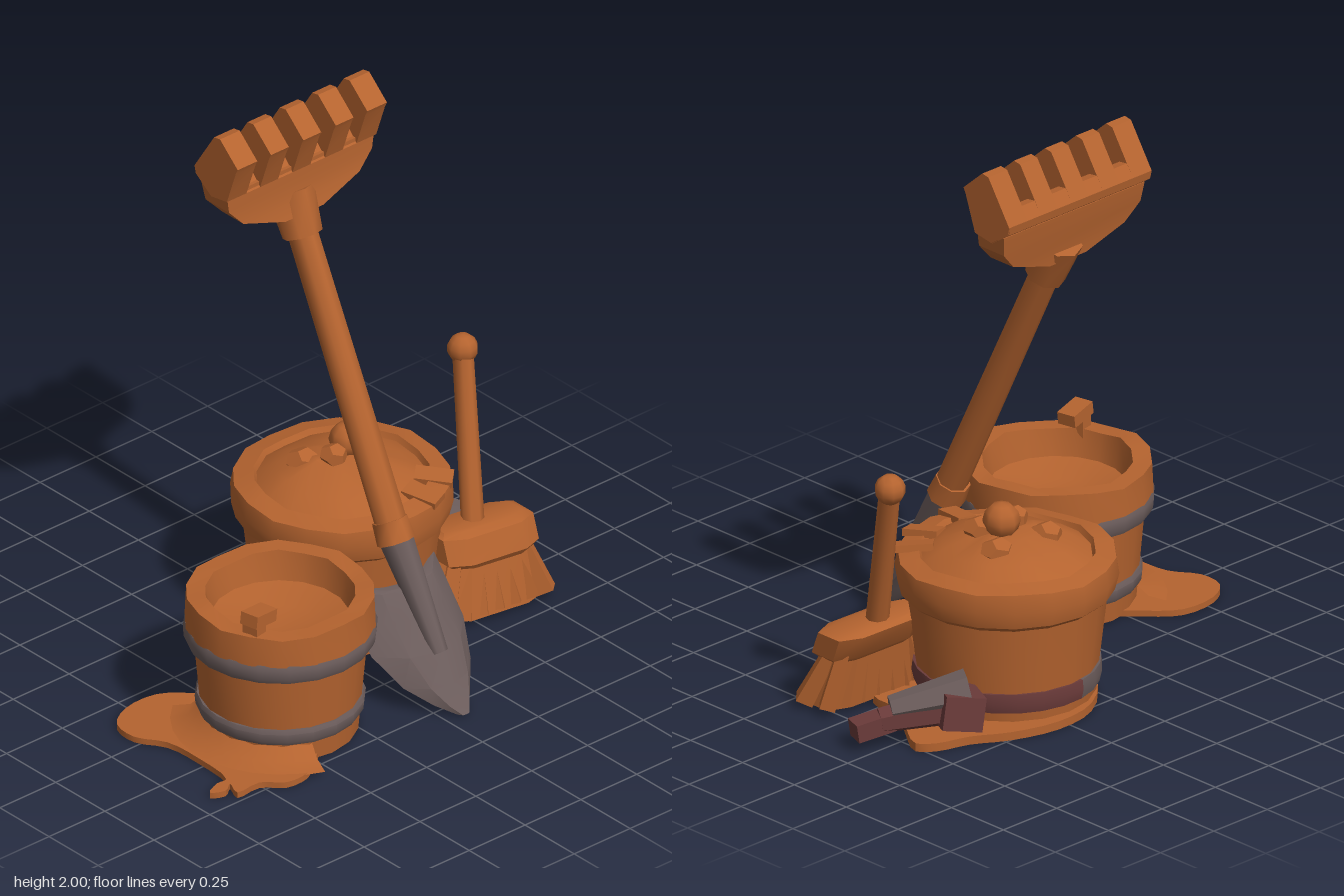
import * as THREE from 'three';
import { toCreasedNormals } from 'three/addons/utils/BufferGeometryUtils.js';

export function createModel() {
  const model = new THREE.Group();
  const mat = (name, color) => {
    const m = new THREE.MeshStandardMaterial({ color });
    m.name = name;
    return m;
  };
  const wood = mat('wood', 0xb4632f);
  const iron = mat('iron', 0x6b5c5b);
  const maroon = mat('maroon', 0x6b3b3a);

  const add = (name, geo, material, crease = 0.6) => {
    const mesh = new THREE.Mesh(toCreasedNormals(geo, crease), material);
    mesh.name = name;
    model.add(mesh);
    return mesh;
  };
  const v2 = (pts) => pts.map((p) => new THREE.Vector2(p[0], p[1]));
  const lathe = (pts, seg = 18, start = 0, len = Math.PI * 2) => new THREE.LatheGeometry(v2(pts), seg, start, len);

  // tapered rod between two points
  const rod = (name, a, b, ra, rb, material, sides = 8) => {
    const p = new THREE.Vector3(...a), q = new THREE.Vector3(...b);
    const geo = new THREE.CylinderGeometry(rb, ra, p.distanceTo(q), sides);
    const mesh = add(name, geo, material, sides < 7 ? 0.3 : 0.9);
    mesh.position.copy(p).lerp(q, 0.5);
    mesh.quaternion.setFromUnitVectors(new THREE.Vector3(0, 1, 0), q.sub(p).normalize());
    return mesh;
  };
  const box = (name, size, pos, rot, material) => {
    const mesh = add(name, new THREE.BoxGeometry(...size), material);
    mesh.position.set(...pos);
    mesh.rotation.set(...rot);
    return mesh;
  };
  // (z, y) profile extruded along x
  const slab = (name, pts, x, width, material) => {
    const geo = new THREE.ExtrudeGeometry(new THREE.Shape(v2(pts)), { depth: width, bevelEnabled: false });
    geo.translate(0, 0, -width / 2).rotateY(-Math.PI / 2);
    add(name, geo, material).position.x = x;
  };
  // closed skin over rings listed from top to bottom, each counter-clockwise from above
  const loft = (rings) => {
    const n = rings[0].length, idx = [];
    for (let i = 0; i < rings.length - 1; i++) for (let j = 0; j < n; j++) {
      const a = i * n + j, b = i * n + (j + 1) % n;
      idx.push(a, a + n, b, b, a + n, b + n);
    }
    const last = (rings.length - 1) * n;
    for (let j = 1; j < n - 1; j++) idx.push(0, j, j + 1, last, last + j + 1, last + j);
    const geo = new THREE.BufferGeometry();
    geo.setAttribute('position', new THREE.Float32BufferAttribute(rings.flat(2), 3));
    geo.setIndex(idx);
    return geo;
  };
  // flat spill lying on the ground, outline in (x, z)
  const spill = (name, pts, height) => {
    const curve = new THREE.CatmullRomCurve3(pts.map((p) => new THREE.Vector3(p[0], -p[1], 0)), true);
    const shape = new THREE.Shape(curve.getPoints(pts.length * 3).map((p) => new THREE.Vector2(p.x, p.y)));
    add(name, new THREE.ExtrudeGeometry(shape, { depth: height, bevelEnabled: false }).rotateX(-Math.PI / 2), wood);
  };
  // uneven plank tops along a rim
  const roughen = (geo, minY, amount) => {
    const p = geo.attributes.position;
    for (let i = 0; i < p.count; i++) {
      if (p.getY(i) < minY) continue;
      const a = Math.atan2(p.getX(i), p.getZ(i));
      p.setY(i, p.getY(i) + amount * Math.sin(a * 7 + 1) * Math.cos(a * 4));
    }
    return geo;
  };

  // open bucket
  const A = [-0.43, 0, 0.21];
  const bucket = lathe([[0, 0.005], [0.265, 0.005], [0.3, 0.4], [0.325, 0.41], [0.32, 0.52],
    [0.255, 0.52], [0.235, 0.42], [0.12, 0.39], [0, 0.38]]);
  add('openBucket', roughen(bucket, 0.5, 0.012), wood).position.set(...A);
  [[0.11, 0.286, 0.06], [0.38, 0.326, 0.07]].forEach(([y, r, h]) => {
    const hoop = lathe([[r - 0.04, -h / 2], [r - 0.008, -h / 2], [r, -h / 4], [r + 0.003, h / 4],
      [r - 0.004, h / 2], [r - 0.04, h / 2]], 20);
    add('bucketHoop', hoop, iron).position.set(A[0], y, A[2]);
  });
  box('rimPeg', [0.11, 0.045, 0.07], [-0.65, 0.572, 0.35], [0, 0.2, -0.15], wood);
  box('rimPegStem', [0.05, 0.09, 0.06], [-0.67, 0.53, 0.35], [0, 0.2, 0], wood);
  spill('bucketSpill', [[-0.78, -0.18], [-0.64, -0.18], [-0.54, -0.1], [-0.42, 0.05], [-0.42, 0.4],
    [-0.54, 0.5], [-0.6, 0.54], [-0.69, 0.54], [-0.76, 0.48], [-0.86, 0.48], [-0.84, 0.42],
    [-0.88, 0.445], [-0.93, 0.42], [-0.87, 0.39], [-0.83, 0.39], [-0.81, 0.22], [-0.82, 0.08], [-0.88, -0.02], [-0.87, -0.12]], 0.022);
  add('spillSlope', lathe([[0.38, 0.02], [0.31, 0.035], [0.26, 0.08]], 10, Math.PI * 1.2, 2.2), wood).position.set(...A);

  // heaped tub
  const B = [0.22, 0, -0.215];
  const tub = lathe([[0, 0.005], [0.3, 0.005], [0.31, 0.12], [0.34, 0.38], [0.365, 0.4], [0.38, 0.46], [0.37, 0.52],
    [0.3, 0.535], [0.29, 0.515], [0.22, 0.56], [0.1, 0.605], [0, 0.615]]);
  add('heapedTub', roughen(tub, 0.51, 0.01), wood).position.set(...B);
  const bandPts = [[0.28, 0.065], [0.314, 0.065], [0.322, 0.1], [0.318, 0.135], [0.28, 0.135]];
  add('tubBandBack', lathe(bandPts, 10, Math.PI * 1.05, Math.PI * 0.8), iron).position.set(...B);
  add('tubBandFront', lathe(bandPts, 14, -Math.PI * 0.15, Math.PI * 1.2), maroon).position.set(...B);
  const knob = add('heapKnob', new THREE.SphereGeometry(0.065, 8, 6), wood, 1);
  knob.position.set(0.25, 0.65, -0.22);
  [[0.17, 0.63, -0.2, 0.05], [0.29, 0.61, -0.15, 0.055], [0.33, 0.58, -0.28, 0.06], [0.12, 0.58, -0.3, 0.06]].forEach(([x, y, z, r]) => {
    const lump = add('heapLump', new THREE.DodecahedronGeometry(r), wood, 0.3);
    lump.position.set(x, y, z);
    lump.scale.y = 0.8;
  });
  [-0.2, 0.35, 0.75].forEach((a) => {
    const s = Math.sin(a), c = Math.cos(a);
    box('rimSplinter', [0.07, 0.025, 0.13], [B[0] + s * 0.31, 0.535, B[2] + c * 0.31], [0.12, a, 0.1], wood);
  });
  spill('tubSpill', [[-0.04, -0.36], [0.12, -0.52], [0.3, -0.55], [0.48, -0.5], [0.6, -0.43], [0.72, -0.39], [0.77, -0.34],
    [0.7, -0.22], [0.62, -0.1], [0.6, 0.04], [0.42, 0.08], [0.2, 0.09], [0, 0.02]], 0.03);

  // long tool: shaft, collars
  rod('shaft', [0.065, 0.54, 0.235], [0.075, 1.56, -0.272], 0.056, 0.052, wood);
  rod('lowerCollar', [0.065, 0.53, 0.238], [0.065, 0.6, 0.203], 0.068, 0.062, wood);
  rod('upperCollar', [0.075, 1.51, -0.25], [0.075, 1.66, -0.315], 0.07, 0.085, wood);

  // rake head with five teeth
  const hx = 0.07;
  const plate = (y, hw, zf, zb) => [[hx - hw, y, zf], [hx + hw, y, zf], [hx + hw, y, zb], [hx - hw, y, zb]];
  add('rakeBody', loft([plate(1.79, 0.33, -0.255, -0.385), plate(1.72, 0.32, -0.255, -0.375),
    plate(1.655, 0.26, -0.25, -0.36), plate(1.6, 0.085, -0.235, -0.355)]), wood);
  slab('rakeBar', [[-0.25, 1.77], [-0.33, 1.755], [-0.41, 1.81], [-0.415, 1.84], [-0.385, 1.885], [-0.35, 1.88]].reverse(), hx, 0.66, wood);
  for (let i = 0; i < 5; i++) {
    slab('rakeTooth', [[-0.195, 1.92], [-0.205, 1.9], [-0.25, 1.77], [-0.33, 1.757], [-0.408, 1.812], [-0.415, 1.84],
      [-0.315, 1.995], [-0.285, 2]], hx + (i - 2) * 0.145, i % 4 ? 0.08 : 0.088, wood);
  }

  // spade blade and socket
  const blade = [[0.39, 0.15, 0.3, 0.22], [0.385, 0.205, 0.31, 0.19], [0.3, 0.21, 0.37, 0.25], [0.2, 0.205, 0.45, 0.34],
    [0.1, 0.15, 0.51, 0.44], [0.04, 0.08, 0.55, 0.515], [0.008, 0.025, 0.575, 0.57]];
  add('spadeBlade', loft(blade.map(([y, hw, zc, ze]) => {
    const x = 0.07, zm = zc * 0.7 + ze * 0.3, t = 0.014;
    return [[x, y, zc + t], [x + hw * 0.55, y, zm + t], [x + hw, y, ze], [x + hw * 0.55, y, zm - t],
      [x, y, zc - t], [x - hw * 0.55, y, zm - t], [x - hw, y, ze], [x - hw * 0.55, y, zm + t]];
  })), iron, 0.5);
  rod('spadeSocket', [0.068, 0.19, 0.452], [0.065, 0.54, 0.235], 0.032, 0.06, iron);

  // broom
  rod('broomHandle', [0.59, 0.3, 0.03], [0.685, 0.88, -0.13], 0.04, 0.036, wood);
  add('broomKnob', new THREE.SphereGeometry(0.054, 9, 7), wood, 1).position.set(0.687, 0.873, -0.132);
  const ring = (x, y, z, hw, hd, yaw) => [[-1, 0.6], [-0.6, 1], [0.6, 1], [1, 0.6], [1, -0.6], [0.6, -1], [-0.6, -1], [-1, -0.6]]
    .map(([a, b]) => [x + a * hw, y - a * 0.008, z + b * hd + a * hw * yaw]);
  add('broomBinding', loft([ring(0.6, 0.32, 0.035, 0.16, 0.06, 0.1), ring(0.605, 0.305, 0.04, 0.185, 0.085, 0.1),
    ring(0.6, 0.22, 0.075, 0.185, 0.085, 0.1), ring(0.6, 0.2, 0.08, 0.16, 0.07, 0.1)]), wood);
  add('broomCore', loft([ring(0.6, 0.22, 0.07, 0.15, 0.065, 0.1), ring(0.585, 0.02, 0.105, 0.19, 0.075, 0.1)]), wood);
  for (let i = 0; i < 7; i++) {
    const t = i / 3 - 1;
    rod('bristleClump', [0.585 + t * 0.2, 0.025, 0.155 + t * 0.025], [0.6 + t * 0.14, 0.23, 0.09], 0.043, 0.03, wood, 4);
    rod('backBristleClump', [0.585 + t * 0.19, 0.025, 0.06 + t * 0.02], [0.6 + t * 0.14, 0.23, 0.04], 0.038, 0.03, wood, 4);
  }

  // hand tool lying behind the broom
  box('gripEnd', [0.14, 0.065, 0.075], [0.845, 0.08, -0.21], [0, -0.35, -0.15], maroon);
  rod('grip', [0.6, 0.13, -0.36], [0.82, 0.09, -0.22], 0.075, 0.045, maroon, 6);
  box('gripBlock', [0.14, 0.12, 0.17], [0.6, 0.12, -0.37], [0.1, -0.5, 0.2], maroon);
  const head = add('ironHead', new THREE.CylinderGeometry(0.045, 0.075, 0.27, 6), iron, 0.5);
  head.position.set(0.68, 0.155, -0.315);
  head.rotation.set(0, -0.6, -1.75);

  return model;
}
